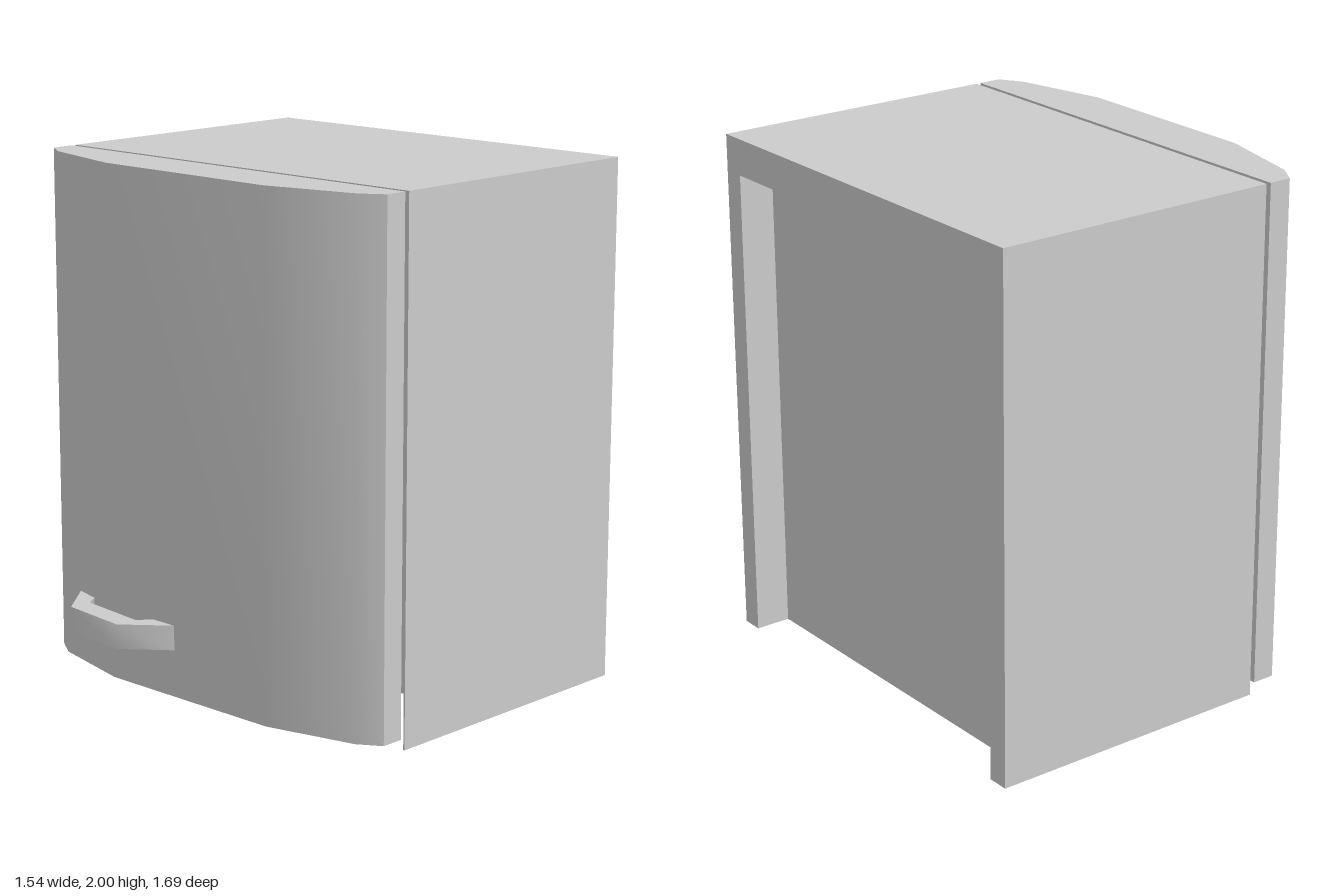
import * as THREE from 'three';
import { toCreasedNormals } from 'three/addons/utils/BufferGeometryUtils.js';

export function createModel() {
  const root = new THREE.Group();
  const material = new THREE.MeshStandardMaterial({ color: 0xcccccc, side: THREE.DoubleSide });

  function add(name, geometry) {
    const mesh = new THREE.Mesh(geometry, material);
    mesh.name = name;
    root.add(mesh);
  }

  // Box given by its limits on each axis
  function block(name, x0, x1, y0, y1, z0, z1) {
    const g = new THREE.BoxGeometry(x1 - x0, y1 - y0, z1 - z0);
    g.translate((x0 + x1) / 2, (y0 + y1) / 2, (z0 + z1) / 2);
    add(name, g);
  }

  // Plan outline in [x, z], extruded upwards from y0 to y1
  function plan(name, points, y0, y1, crease) {
    const shape = new THREE.Shape(points.map(([x, z]) => new THREE.Vector2(x, -z)));
    const g = new THREE.ExtrudeGeometry(shape, { depth: y1 - y0, bevelEnabled: false });
    g.rotateX(-Math.PI / 2).translate(0, y0, 0);
    add(name, toCreasedNormals(g, crease));
  }

  const front = -0.385, back = 0.77, panel = 0.63, half = 0.845, floor = 0.25;

  // Cabinet above the raised underside
  block('cabinet', front, panel, floor, 2, -half, half);

  // Rim around the back recess, open at the bottom
  const rim = new THREE.Shape([
    [-half, 0], [-0.76, 0], [-0.76, 1.86], [0.76, 1.86],
    [0.76, 0], [half, 0], [half, 2], [-half, 2],
  ].map(([z, y]) => new THREE.Vector2(z, y)));
  const rimGeometry = new THREE.ExtrudeGeometry(rim, { depth: back - panel, bevelEnabled: false });
  rimGeometry.rotateY(Math.PI / 2).translate(panel, 0, 0);
  add('backRim', rimGeometry);

  // Thin skirts below the cabinet: both sides and the recessed back panel
  for (const s of [-1, 1]) {
    const z = [s * half, s * (half - 0.006)].sort((a, b) => a - b);
    block('sideSkirt', front, panel, 0, floor, z[0], z[1]);
  }
  block('backPanelSkirt', panel - 0.006, panel, 0, floor, -half, half);

  // Underside lip and ribs
  block('frontLip', front, -0.32, 0.21, floor, -half, half);
  for (const z of [0.05, -0.55]) block('undersideRib', -0.32, panel - 0.006, 0.2, floor, z - 0.01, z + 0.01);

  // Door seal and bowed door
  block('doorSeal', -0.405, front, 0.045, 1.86, -0.757, 0.757);
  plan('door', [
    [-0.405, -half], [-0.495, -half], [-0.55, -0.757], [-0.635, -0.4],
    [-0.635, 0.4], [-0.55, 0.757], [-0.495, half], [-0.405, half],
  ], 0.045, 2, 0.6);

  // Angled grab handle
  plan('handle', [
    [-0.575, -0.65], [-0.74, -0.52], [-0.77, -0.235], [-0.635, -0.07],
    [-0.635, -0.18], [-0.685, -0.225], [-0.655, -0.51], [-0.6, -0.545],
  ], 0.225, 0.32, 1.0);

  return root;
}
